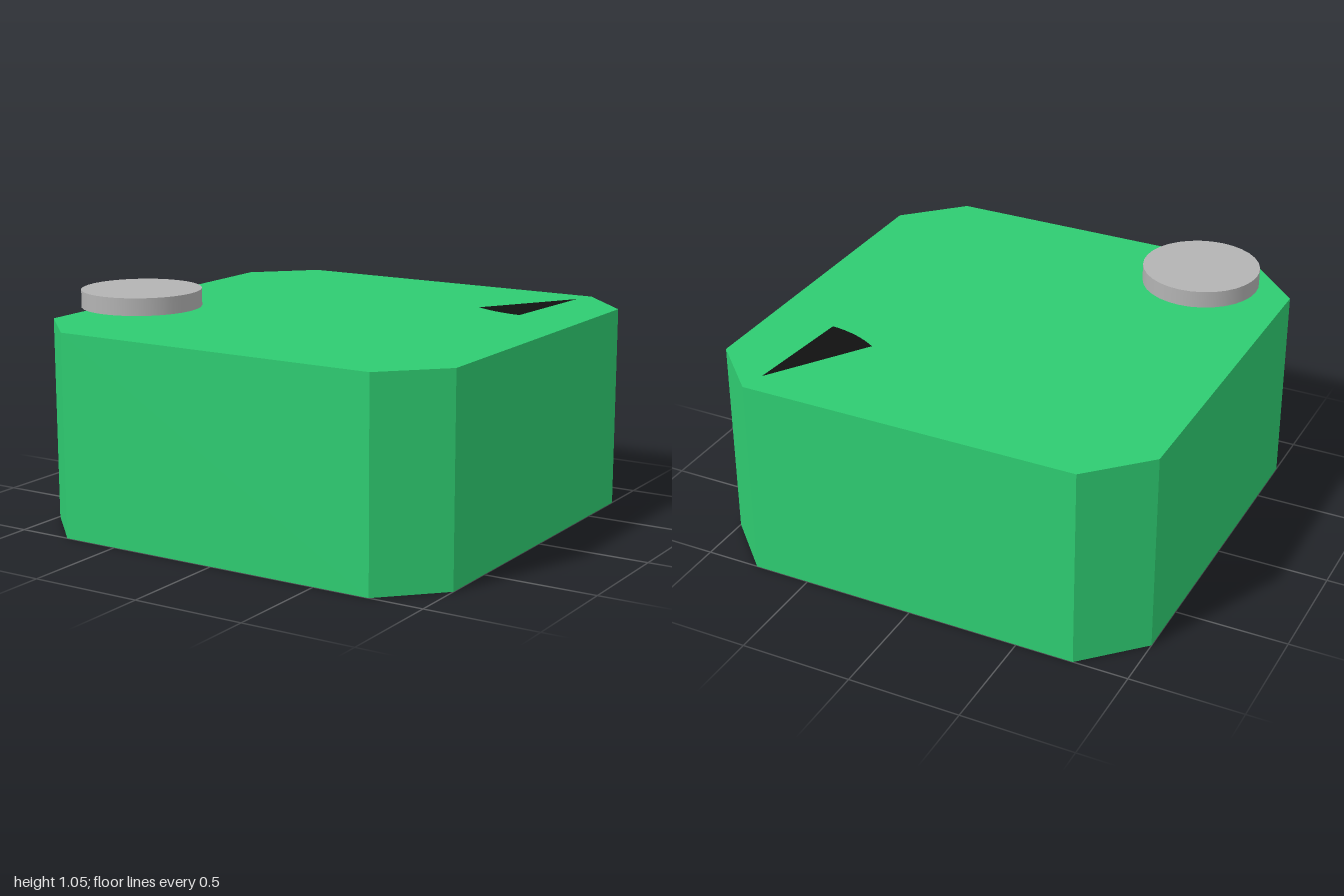
import * as THREE from 'three';

export function createModel() {
  const model = new THREE.Group();

  const add = (name, geometry, color, x, y, z, options = {}) => {
    const material = new THREE.MeshStandardMaterial({ color, ...options });
    const mesh = new THREE.Mesh(geometry, material);
    mesh.name = name;
    mesh.position.set(x, y, z);
    model.add(mesh);
  };

  // Square block with its four upright corners cut off
  const height = 0.9, c = 0.757;
  const outline = new THREE.Shape([
    [1, -c], [1, c], [c, 1], [-c, 1], [-1, c], [-1, -c], [-c, -1], [c, -1],
  ].map(([x, y]) => new THREE.Vector2(x, y)));
  const block = new THREE.ExtrudeGeometry(outline, { depth: height, bevelEnabled: false });
  block.rotateX(-Math.PI / 2);
  add('body', block, 0x2ecc71, 0, 0, 0, { flatShading: true });

  // Round button hovering over the front right corner
  add('button', new THREE.CylinderGeometry(0.26, 0.26, 0.075, 32), 0xb3b3b3, -0.625, 1.008, 0.612);

  // Thin black pie slice lying on top, pointing at the back left corner
  const deg = THREE.MathUtils.degToRad;
  const slice = new THREE.CircleGeometry(0.512, 16, deg(-123.2), deg(29));
  slice.rotateX(-Math.PI / 2);
  add('pointer', slice, 0x111111, 0.733, height + 0.002, -0.891, { side: THREE.DoubleSide });

  return model;
}
